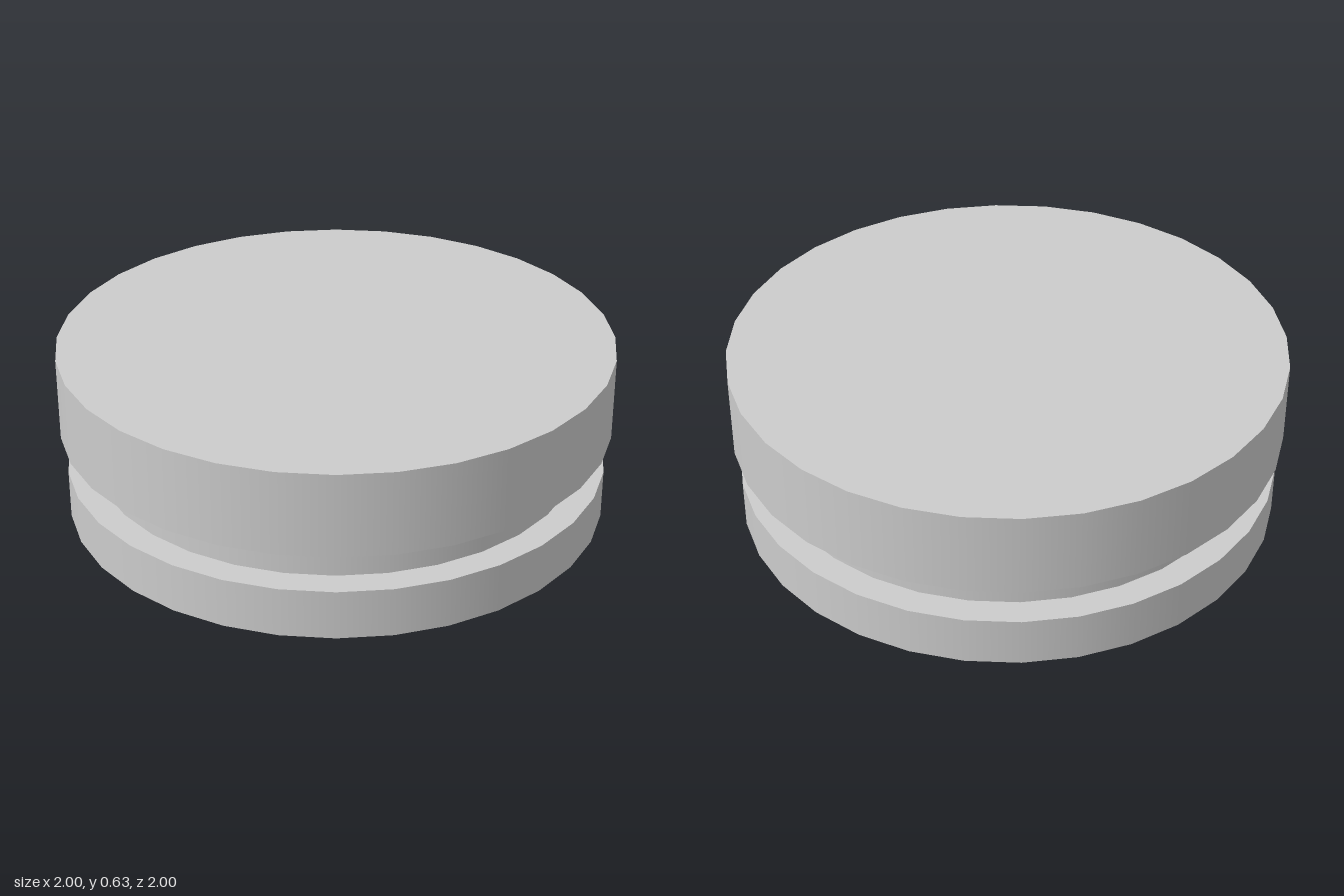
import * as THREE from 'three';

const SIDES = 32;

export function createModel() {
  const group = new THREE.Group();
  group.name = 'groovedDisc';
  const material = new THREE.MeshStandardMaterial({ color: 0xcccccc });

  // Upright disc between two heights
  function addDisc(name, radius, bottom, top) {
    const geometry = new THREE.CylinderGeometry(radius, radius, top - bottom, SIDES);
    const mesh = new THREE.Mesh(geometry, material);
    mesh.name = name;
    mesh.position.y = (bottom + top) / 2;
    group.add(mesh);
  }

  addDisc('base', 0.982, 0, 0.18);
  addDisc('neck', 0.882, 0.18, 0.323);
  addDisc('cap', 1, 0.323, 0.628);

  return group;
}
